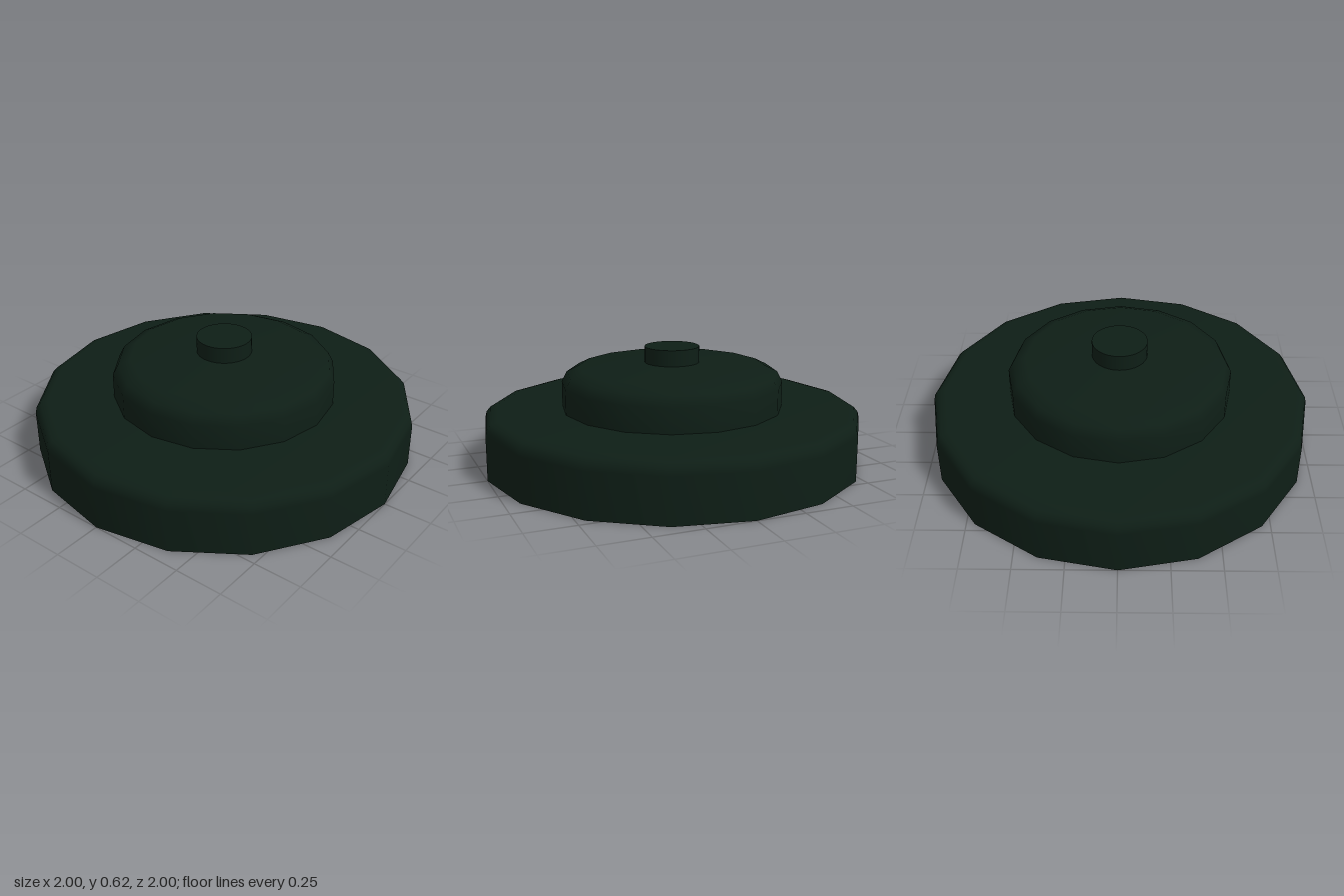
import * as THREE from 'three';

const SIDES = 16;

export function createModel() {
  const group = new THREE.Group();
  const material = new THREE.MeshStandardMaterial({ color: 0x0e1e16 });

  function add(name, geometry, y = 0) {
    const mesh = new THREE.Mesh(geometry, material);
    mesh.name = name;
    mesh.position.y = y;
    group.add(mesh);
  }

  const turned = (profile) =>
    new THREE.LatheGeometry(profile.map(([r, y]) => new THREE.Vector2(r, y)), SIDES);

  // Wide base disc with a rounded upper rim
  add('base', turned([
    [1, 0], [1, 0.23], [0.993, 0.262], [0.972, 0.288], [0.93, 0.3], [0, 0.3],
  ]));

  // Flat underside
  add('baseUnderside', new THREE.CircleGeometry(1, SIDES).rotateX(Math.PI / 2));

  // Raised centre with bevelled shoulder and gently sloping top
  add('dome', turned([
    [0.585, 0.3], [0.585, 0.43], [0.557, 0.483], [0.49, 0.516], [0.14, 0.536], [0, 0.537],
  ]));

  // Small round knob on top
  add('knob', new THREE.CylinderGeometry(0.144, 0.144, 0.1, 32), 0.57);

  return group;
}
